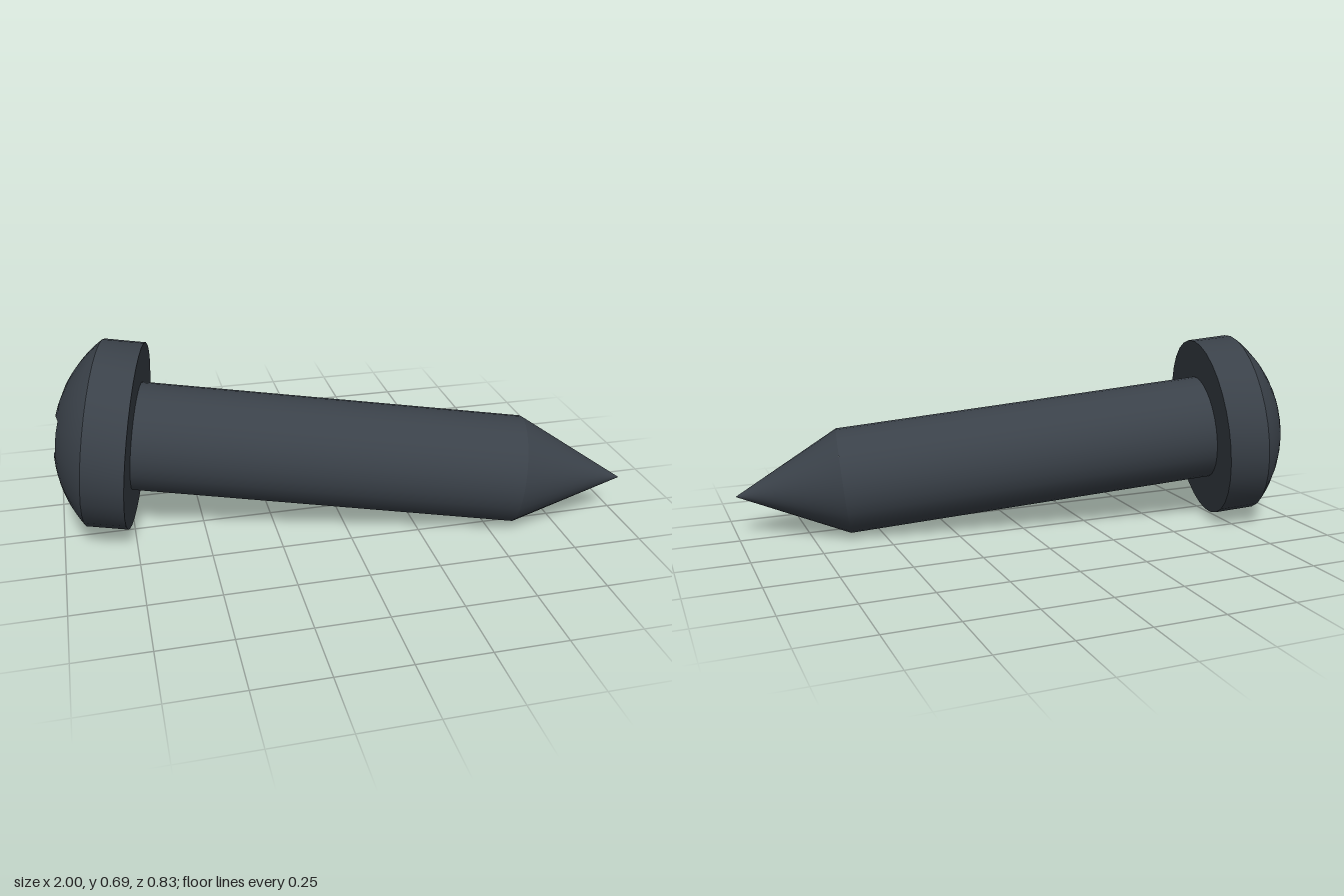
import * as THREE from 'three';
import { toCreasedNormals } from 'three/addons/utils/BufferGeometryUtils.js';

const SEG = 32;
const HEAD_R = 0.335, RIM_H = 0.145, DOME_H = 0.145;
const SHAFT_R = 0.194, SHAFT_L = 1.37, TIP_L = 0.39;
const ARM = 0.165, ARM_HALF_W = ARM * Math.tan(Math.PI / 8), FLOOR_Y = 0.18;

// Radius of the cross-shaped recess outline at a given angle
function crossRadius(angle) {
  const c = Math.abs(Math.cos(angle)), s = Math.abs(Math.sin(angle));
  const long = Math.max(c, s), short = Math.min(c, s);
  return Math.min(ARM / long, short > 1e-6 ? ARM_HALF_W / short : Infinity);
}

// Height of the spherical dome at a given radius
function domeHeight(r) {
  const sphere = (HEAD_R ** 2 + DOME_H ** 2) / (2 * DOME_H);
  return RIM_H + DOME_H - sphere + Math.sqrt(sphere ** 2 - r ** 2);
}

// Closed head: recess floor, recess walls, dome, rim and underside as rings
function headGeometry() {
  const steps = 8;
  const rings = [() => [0, FLOOR_Y], (a) => [crossRadius(a), FLOOR_Y]];
  for (let i = 0; i <= steps; i++) {
    rings.push((a) => {
      const r = THREE.MathUtils.lerp(crossRadius(a), HEAD_R, i / steps);
      return [r, domeHeight(r)];
    });
  }
  rings.push(() => [HEAD_R, 0], () => [0, 0]);

  const positions = [], index = [];
  for (const ring of rings) {
    for (let j = 0; j < SEG; j++) {
      const a = (j / SEG) * Math.PI * 2;
      const [r, y] = ring(a);
      positions.push(r * Math.cos(a), y, r * Math.sin(a));
    }
  }
  for (let i = 0; i < rings.length - 1; i++) {
    for (let j = 0; j < SEG; j++) {
      const k = (j + 1) % SEG;
      const a = i * SEG + j, b = a + SEG, c = (i + 1) * SEG + k, d = i * SEG + k;
      if (i < rings.length - 2) index.push(a, c, b);
      if (i > 0) index.push(a, d, c);
    }
  }
  const geometry = new THREE.BufferGeometry();
  geometry.setAttribute('position', new THREE.Float32BufferAttribute(positions, 3));
  geometry.setIndex(index);
  return toCreasedNormals(geometry, 0.45);
}

export function createModel() {
  const steel = new THREE.MeshStandardMaterial({ color: 0x3a4149 });
  steel.name = 'dark steel';

  const screw = new THREE.Group();
  screw.name = 'screw';
  const add = (name, geometry, y = 0) => {
    const mesh = new THREE.Mesh(geometry, steel);
    mesh.name = name;
    mesh.position.y = y;
    screw.add(mesh);
    return mesh;
  };

  add('head', headGeometry());
  add('shaft', new THREE.CylinderGeometry(SHAFT_R, SHAFT_R, SHAFT_L, SEG, 1, true), -SHAFT_L / 2);

  // Pointed tip, facing away from the head
  const tip = add('tip', new THREE.ConeGeometry(SHAFT_R, TIP_L, SEG, 8, true), -SHAFT_L - TIP_L / 2);
  tip.rotation.x = Math.PI;

  // Lay the screw down along its slanted axis, head towards -x
  const axis = new THREE.Vector3(-0.9717, 0.109, -0.209).normalize();
  screw.quaternion.setFromUnitVectors(new THREE.Vector3(0, 1, 0), axis);
  screw.position.set(-0.71, 0.347, -0.063);

  const model = new THREE.Group();
  model.name = 'model';
  model.add(screw);
  return model;
}
